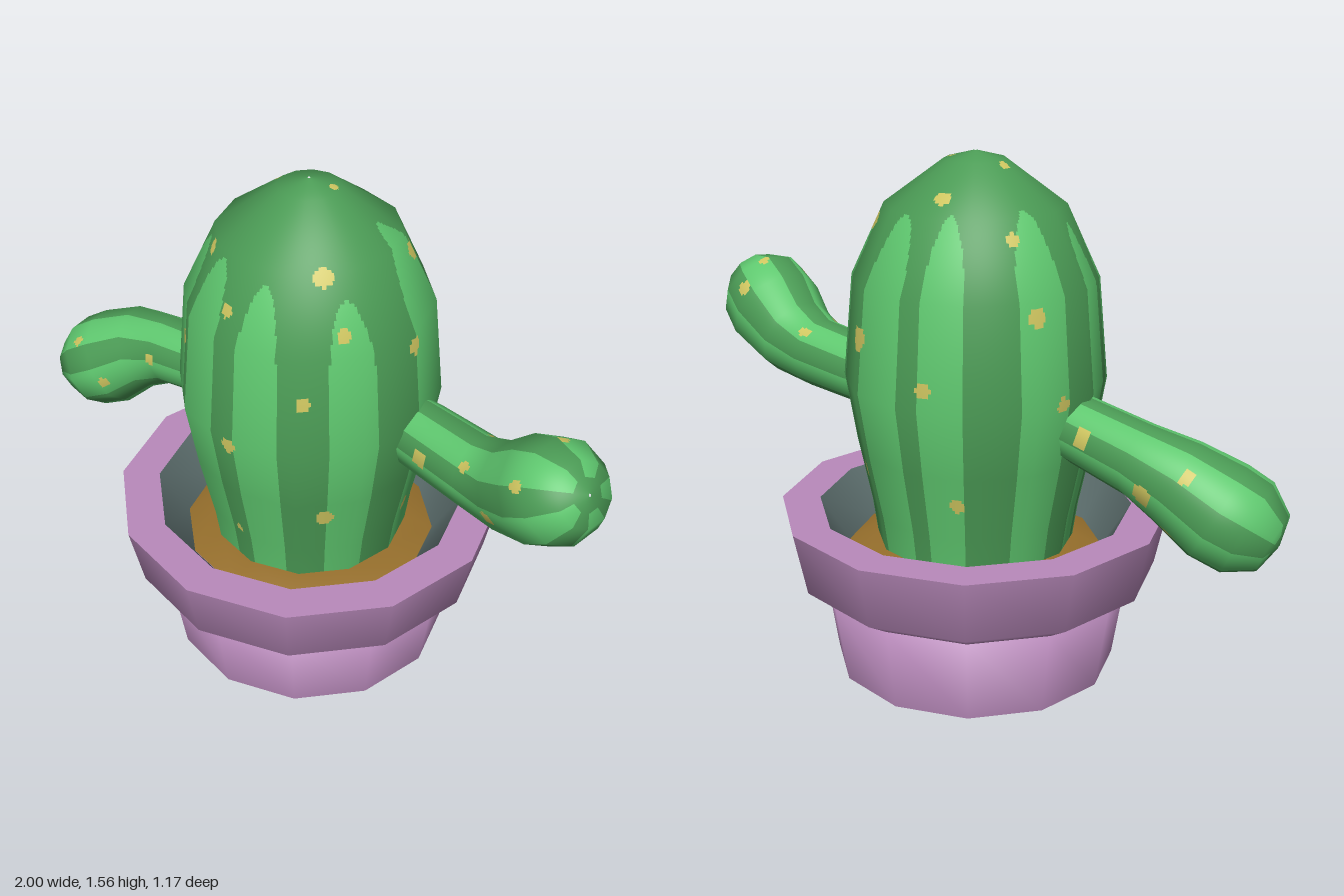
import * as THREE from 'three';
import { toCreasedNormals } from 'three/addons/utils/BufferGeometryUtils.js';

const material = (name, color) => {
  const m = new THREE.MeshStandardMaterial({ color });
  m.name = name;
  return m;
};
const TAU = Math.PI * 2;
const rad = THREE.MathUtils.degToRad;

// Low-poly skin through rings of corners, each quad cut into fine cells so that
// paint(angle, row, point) can choose a material index per cell.
// Spots are [degrees, row, radius].
function paintedSkin(name, rings, cuts, rowCuts, materials, spots, paint) {
  const n = rings[0].length, rows = rings.length - 1;
  const low = new THREE.BufferGeometry().setFromPoints(rings.flat());
  const lowIndex = [];
  for (let i = 0; i < rows; i++) for (let j = 0; j < n; j++) {
    const k = (j + 1) % n, a = i * n + j, b = i * n + k;
    lowIndex.push(a, b, b + n, a, b + n, a + n);
  }
  low.setIndex(lowIndex);
  low.computeVertexNormals();
  const sample = (attribute, angle, row) => {
    const u = (((angle / TAU) % 1) + 1) % 1 * n;
    const j = Math.floor(u + 1e-6) % n, i = Math.min(Math.floor(row), rows - 1);
    const fu = Math.max(0, u - Math.floor(u + 1e-6)), fv = row - i;
    const get = (r, c) => new THREE.Vector3().fromBufferAttribute(attribute, r * n + (c % n));
    return get(i, j).lerp(get(i, j + 1), fu).lerp(get(i + 1, j).lerp(get(i + 1, j + 1), fu), fv);
  };
  const { position, normal } = low.attributes;
  const dots = spots.map(([deg, row, size]) => ({ centre: sample(position, rad(deg), row), size }));
  const U = n * cuts, V = rows * rowCuts, points = [], normals = [];
  for (let v = 0; v <= V; v++) for (let u = 0; u < U; u++) {
    points.push(sample(position, u / U * TAU, v / rowCuts));
    normals.push(...sample(normal, u / U * TAU, v / rowCuts).normalize().toArray());
  }
  const lists = materials.map(() => []);
  for (let v = 0; v < V; v++) for (let u = 0; u < U; u++) {
    const a = v * U + u, b = v * U + (u + 1) % U;
    const mid = points[a].clone().add(points[b + U]).multiplyScalar(0.5);
    const spotted = dots.some((d) => d.centre.distanceTo(mid) < d.size);
    const which = spotted ? 2 : paint((u + 0.5) / U * 360, (v + 0.5) / rowCuts, mid);
    lists[which].push(a, b, b + U, a, b + U, a + U);
  }
  const geometry = new THREE.BufferGeometry().setFromPoints(points);
  geometry.setAttribute('normal', new THREE.Float32BufferAttribute(normals, 3));
  geometry.setIndex(lists.flat());
  let start = 0;
  lists.forEach((list, k) => {
    geometry.addGroup(start, list.length, k);
    start += list.length;
  });
  const mesh = new THREE.Mesh(geometry, materials);
  mesh.name = name;
  return mesh;
}

// Ribbed trunk: rings from a radius/height profile
function makeTrunk(materials) {
  const profile = [[0.29, 0.36], [0.31, 0.5], [0.352, 0.7], [0.385, 0.9], [0.357, 1.2],
    [0.26, 1.41], [0.09, 1.535], [0.004, 1.558]];
  const rings = profile.map(([r, y]) => Array.from({ length: 12 }, (_, j) =>
    new THREE.Vector3(r * Math.sin(j / 12 * TAU), y, r * Math.cos(j / 12 * TAU))));
  // Light ribs: start angle, end angle, top height
  const ribs = [[2, 22, 1.37], [45, 67, 1.34], [90, 124, 1.455], [152, 178, 1.41], [187, 208, 1.42],
    [232, 258, 1.43], [275, 292, 1.37], [297, 317, 1.38], [327, 349, 1.39]];
  // Spots: angle, height, radius
  const spots = [[-41, 1.38, 0.021], [45, 1.4, 0.027], [-8, 1.28, 0.02], [53, 1.255, 0.02],
    [-44, 1.09, 0.023], [34, 1.07, 0.02], [0, 0.89, 0.023], [-45, 0.64, 0.031], [44, 0.645, 0.027],
    [-5, 0.53, 0.014], [120, 1.36, 0.028], [90, 1.16, 0.024], [149, 1.06, 0.036], [136, 0.635, 0.024],
    [103, 0.53, 0.024], [186, 1.455, 0.024], [110, 1.54, 0.013], [265, 1.525, 0.015],
    [234, 1.36, 0.019], [241, 1.16, 0.027], [190, 0.96, 0.021], [254, 0.9, 0.023], [204, 0.615, 0.021]];
  const toRow = ([angle, y, size]) => {
    const i = profile.findIndex((p) => p[1] > y) - 1;
    return [angle, i + (y - profile[i][1]) / (profile[i + 1][1] - profile[i][1]), size];
  };
  return paintedSkin('trunk', rings, 24, 22, materials, spots.map(toRow),
    (angle, row, p) => ribs.some(([from, to, top]) => {
      // Rounded rib ends
      const u = THREE.MathUtils.clamp((top - p.y) / 0.22, 0, 1);
      return Math.abs(angle - (from + to) / 2) < (to - from) / 2 * Math.sqrt(1 - (1 - u) ** 2);
    }) ? 1 : 0);
}

// Bent arm: stations are [x, y, z, radius]
function makeArm(name, stations, ribStart, spots, materials) {
  const centres = stations.map((s) => new THREE.Vector3(s[0], s[1], s[2]));
  const rings = stations.map((s, i) => {
    const next = centres[Math.min(i + 1, centres.length - 1)], prev = centres[Math.max(i - 1, 0)];
    const t = next.clone().sub(prev).normalize();
    const front = new THREE.Vector3(0, 0, 1).addScaledVector(t, -t.z).normalize();
    const side = t.clone().cross(front);
    return Array.from({ length: 10 }, (_, j) => centres[i].clone()
      .addScaledVector(front, s[3] * Math.cos(j / 10 * TAU))
      .addScaledVector(side, s[3] * Math.sin(j / 10 * TAU)));
  });
  // Light ribs stop short of the tip
  return paintedSkin(name, rings, 10, 10, materials, spots,
    (angle, row) => (row < 6.5 && (angle - ribStart + 720) % 72 < 40 ? 1 : 0));
}

export function createModel() {
  const clay = material('mauve clay', 0xb98abb);
  const slate = material('slate lining', 0x5d6f6e);
  const earth = material('brown soil', 0x966f2c);
  const skin = [material('dark green', 0x4b9b55), material('light green', 0x5fc86f),
    material('yellow spots', 0xcfc660)];
  const model = new THREE.Group();
  model.name = 'pottedCactus';

  // Twelve-sided turned parts
  const turned = (name, profile, mat) => {
    const g = new THREE.LatheGeometry(profile.map((p) => new THREE.Vector2(...p)), 12);
    const mesh = new THREE.Mesh(g, mat);
    mesh.name = name;
    mesh.position.x = -0.02;
    model.add(mesh);
    return mesh;
  };
  // Pot body with a hidden shoulder, and a collar resting on it
  turned('potBody', [[0.425, 0], [0.465, 0.26], [0.25, 0.262]], clay);
  turned('potCollar', [[0.38, 0.258], [0.465, 0.26], [0.545, 0.31], [0.585, 0.5]], clay);
  turned('potLip', [[0.585, 0.5], [0.47, 0.5]], clay);
  const lining = turned('potLining', [[0.47, 0.5], [0.38, 0.36]], slate);
  lining.geometry = toCreasedNormals(lining.geometry, 0.6);
  turned('potBase', [[0, 0], [0.425, 0]], slate);
  turned('soil', [[0.382, 0.365], [0.29, 0.4], [0, 0.41]], earth);

  const trunk = makeTrunk(skin);
  trunk.position.x = -0.02;
  model.add(trunk);

  // Arms: one lifts at its end, the other droops
  model.add(makeArm('leftArm', [[0.2, 0.85, -0.06, 0.09], [0.36, 0.852, -0.025, 0.102],
    [0.58, 0.858, 0.03, 0.108], [0.7, 0.885, 0.06, 0.128], [0.81, 0.95, 0.095, 0.152],
    [0.885, 1.0, 0.125, 0.143], [0.947, 1.035, 0.145, 0.09], [0.962, 1.045, 0.15, 0.004]],
  -5, [[-10, 1.42, 0.024], [-42, 2.3, 0.018], [12, 3.15, 0.023], [-36, 4.75, 0.022],
    [203, 4.45, 0.022], [110, 3.4, 0.02], [230, 2, 0.018], [245, 5, 0.018]], skin));
  model.add(makeArm('rightArm', [[-0.2, 0.815, 0.01, 0.09], [-0.38, 0.798, 0, 0.1],
    [-0.58, 0.76, -0.03, 0.108], [-0.7, 0.722, -0.035, 0.13], [-0.81, 0.655, -0.01, 0.152],
    [-0.888, 0.615, 0.01, 0.146], [-0.962, 0.583, 0.02, 0.09], [-0.978, 0.576, 0.02, 0.004]],
  40, [[-40, 0.92, 0.018], [10, 1.98, 0.018], [-16, 3.85, 0.018], [48, 4.45, 0.018], [165, 1.3, 0.03],
    [195, 2.6, 0.032], [225, 3.4, 0.022], [140, 3.2, 0.022], [-95, 5, 0.02]], skin));
  return model;
}
